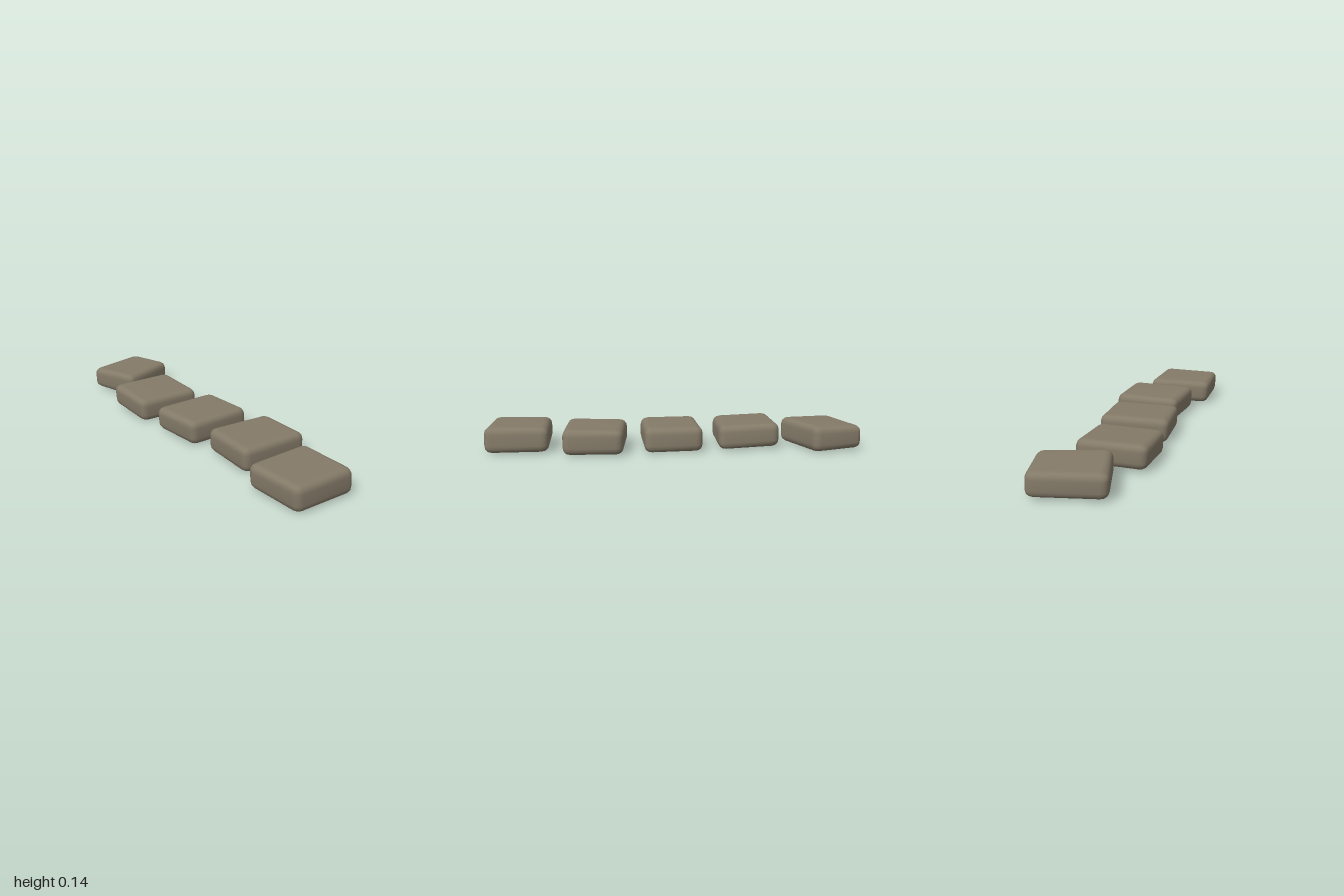
import * as THREE from 'three';
import { RoundedBoxGeometry } from 'three/addons/geometries/RoundedBoxGeometry.js';
import { mergeVertices } from 'three/addons/utils/BufferGeometryUtils.js';

const W = 0.36, H = 0.14, D = 0.32;

// Plan corners [x, z]: back left-hand, back right-hand, front right-hand, front left-hand.
// back / front: [underside, top] heights at each end; lean: x shift from bottom to top.
const STONES = [
  { corners: [[-0.205, 0.68], [0.168, 0.655], [0.172, 0.995], [-0.178, 1.002]], back: [0.008, 0.139], front: [0.004, 0.143], lean: -0.012 },
  { corners: [[-0.13, 0.25], [0.243, 0.265], [0.244, 0.58], [-0.14, 0.582]], back: [0.006, 0.135], front: [0.006, 0.141], lean: -0.008 },
  { corners: [[-0.21, -0.135], [0.172, -0.157], [0.2, 0.153], [-0.172, 0.178]], back: [0.006, 0.136], front: [0.004, 0.137], lean: -0.01 },
  { corners: [[-0.25, -0.562], [0.122, -0.572], [0.134, -0.243], [-0.234, -0.241]], back: [0.018, 0.144], front: [0.002, 0.132], lean: -0.008 },
  { corners: [[-0.212, -0.915], [0.148, -1.014], [0.227, -0.74], [-0.105, -0.607]], back: [0.012, 0.134], front: [0.005, 0.144], lean: -0.005 },
];

// Soft-edged block stretched over four plan corners
function stoneGeometry({ corners: [a, b, c, d], back, front, lean }) {
  let geo = new RoundedBoxGeometry(W, H, D, 2, 0.04);
  geo.deleteAttribute('normal');
  geo.deleteAttribute('uv');
  geo.clearGroups();
  geo = mergeVertices(geo, 1e-4);
  const mix = THREE.MathUtils.lerp;
  const p = geo.attributes.position;
  for (let i = 0; i < p.count; i++) {
    const u = p.getX(i) / W + 0.5, t = p.getY(i) / H + 0.5, v = p.getZ(i) / D + 0.5;
    const x = mix(mix(a[0], b[0], u), mix(d[0], c[0], u), v) + lean * (t - 0.5);
    const z = mix(mix(a[1], b[1], u), mix(d[1], c[1], u), v);
    const y = mix(mix(back[0], front[0], v), mix(back[1], front[1], v), t);
    p.setXYZ(i, x, y, z);
  }
  geo.computeVertexNormals();
  return geo;
}

export function createModel() {
  const group = new THREE.Group();
  group.name = 'steppingStones';
  const stone = new THREE.MeshStandardMaterial({ color: 0x847a68 });
  stone.name = 'stone';
  STONES.forEach((s, i) => {
    const mesh = new THREE.Mesh(stoneGeometry(s), stone);
    mesh.name = `steppingStone${i + 1}`;
    group.add(mesh);
  });
  return group;
}
